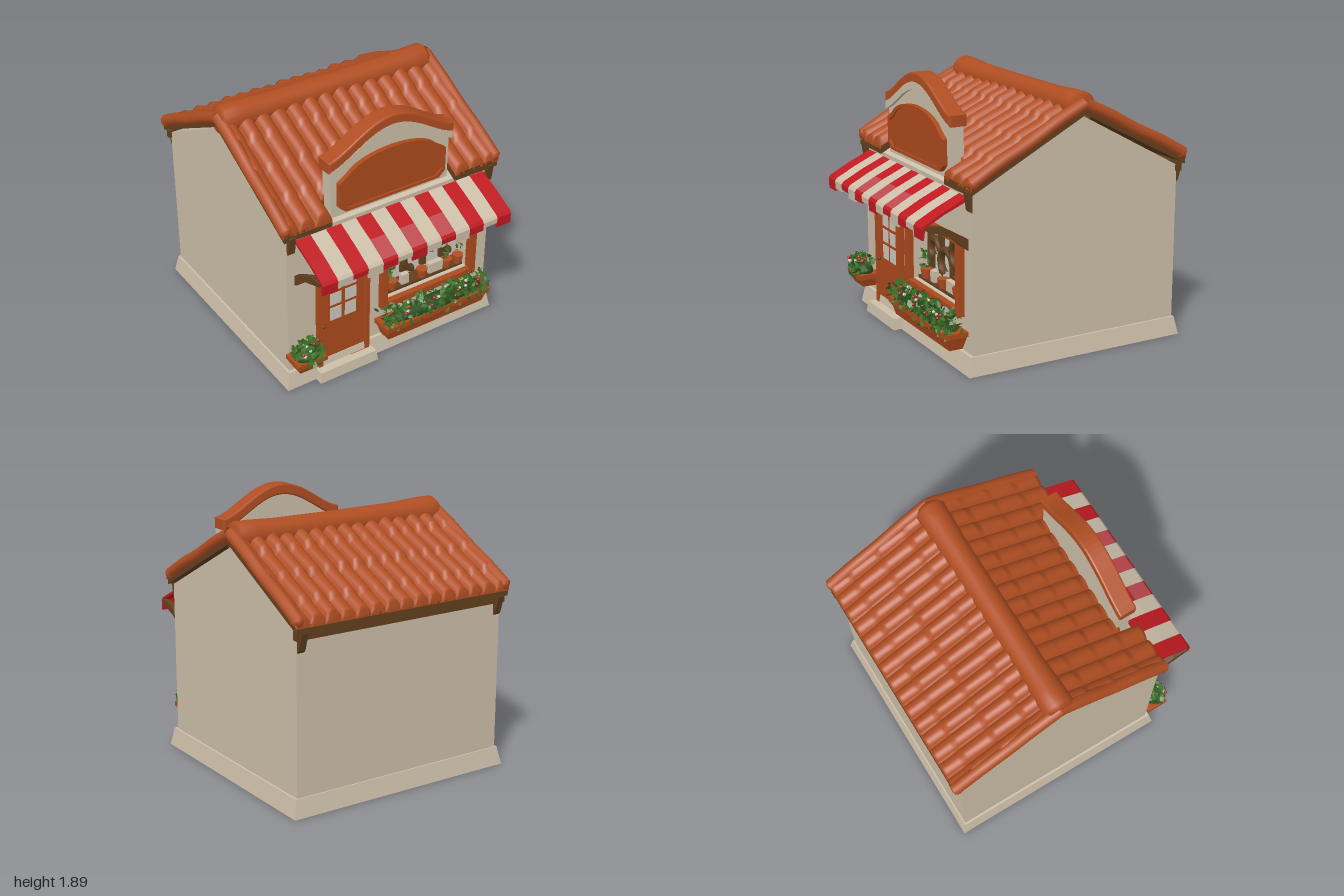
import * as THREE from 'three';
import { mergeGeometries } from 'three/addons/utils/BufferGeometryUtils.js';

const mat = (name, color, side = THREE.FrontSide) => {
  const m = new THREE.MeshStandardMaterial({ color, side });
  m.name = name;
  return m;
};

export function createModel() {
  const group = new THREE.Group();
  const plaster = mat('plaster', 0xcdbfa9);
  const terracotta = mat('terracotta', 0xb04e22, THREE.DoubleSide);
  const paintedWood = mat('paintedWood', 0xad4a1c);
  const darkWood = mat('darkWood', 0x63401f);
  const red = mat('awningRed', 0xc01a20);
  const pink = mat('fadedRed', 0xbf4a50);
  const pane = mat('paleGlass', 0xcfc9bd);
  const leafGreen = mat('leafGreen', 0x3b6b24, THREE.DoubleSide);
  const darkGreen = mat('darkGreen', 0x274a1b);

  let seed = 7;
  const rand = () => (seed = (seed * 16807) % 2147483647) / 2147483647;

  const add = (name, geo, material, parent = group) => {
    const m = new THREE.Mesh(geo, material);
    m.name = name;
    parent.add(m);
    return m;
  };
  // Box given by its limits, optionally tapered towards the top or bottom
  const box = (name, m, x0, x1, y0, y1, z0, z1, top = 1, bottom = 1) => {
    const g = new THREE.BoxGeometry(x1 - x0, y1 - y0, z1 - z0);
    const p = g.attributes.position;
    for (let i = 0; i < p.count; i++) {
      const inset = p.getY(i) > 0 ? top : bottom;
      p.setX(i, p.getX(i) - Math.sign(p.getX(i)) * (1 - inset));
      p.setZ(i, p.getZ(i) - Math.sign(p.getZ(i)) * (1 - inset));
    }
    g.computeVertexNormals();
    g.translate((x0 + x1) / 2, (y0 + y1) / 2, (z0 + z1) / 2);
    return add(name, g, m);
  };
  // Side profile of [z, y] points drawn out along x
  const alongX = (name, m, pts, x0, x1, parent) => {
    const s = new THREE.Shape(pts.map(([z, y]) => new THREE.Vector2(-z, y)));
    const g = new THREE.ExtrudeGeometry(s, { depth: x1 - x0, bevelEnabled: false });
    return add(name, g.rotateY(Math.PI / 2).translate(x0, 0, 0), m, parent);
  };
  // Front outline drawn out along z
  const alongZ = (name, m, shape, z0, z1, bevel = 0) => {
    const g = new THREE.ExtrudeGeometry(shape, { depth: z1 - z0 - bevel, curveSegments: 16,
      bevelEnabled: bevel > 0, bevelSize: bevel, bevelThickness: bevel, bevelSegments: 2 });
    return add(name, g.translate(0, 0, z0), m);
  };
  const outline = (pts) => new THREE.Shape(pts.map(([x, y]) => new THREE.Vector2(x, y)));
  const rect = (x0, x1, y0, y1) => outline([[x0, y0], [x1, y0], [x1, y1], [x0, y1]]);

  // Walls, with a recess for the shop window
  const gable = [[-0.93, 0], [-0.93, 1.24], [-0.16, 1.66], [0.67, 1.23]];
  const recess = [[0.67, 0.87], [0.52, 0.87], [0.52, 0.42], [0.67, 0.42]];
  alongX('wallRight', plaster, [...gable, [0.67, 0]], -0.84, -0.05);
  alongX('wallWindow', plaster, [...gable, ...recess, [0.67, 0]], -0.05, 0.67);
  alongX('wallLeft', plaster, [...gable, [0.67, 0]], 0.67, 0.84);
  box('plinth', plaster, -0.88, 0.88, 0, 0.13, -0.965, 0.72, 0.975);
  box('doorstep', plaster, -0.65, -0.17, 0, 0.08, 0.6, 0.78, 0.99);

  // Roof: rippled tile panels over a timber deck, measured from the ridge
  const slope = 0.52, ridgeY = 1.73, ridgeZ = -0.16;
  const tiles = (x0, x1, len, cols, parent) => {
    const nx = cols * 10, ny = 41;
    const g = new THREE.PlaneGeometry(1, 1, nx, ny);
    const p = g.attributes.position;
    const lean = Array.from({ length: cols * 6 }, () => rand() * 0.014);
    for (let i = 0; i < p.count; i++) {
      const u = p.getX(i) + 0.5, v = 0.5 - p.getY(i);
      const d = Math.min(1, (v * ny) / (ny - 1)) * len;
      const c = u * cols, row = Math.floor(d / 0.22);
      const arch = Math.pow(Math.abs(Math.sin(Math.PI * c)), 0.6);
      const lift = arch * (0.034 + 0.018 * (d / 0.22 - row) + lean[Math.min(cols - 1, Math.floor(c)) * 6 + row]);
      p.setXYZ(i, x0 + u * (x1 - x0), ridgeY - slope * d + (v > 0.999 ? -0.02 : lift), d);
    }
    g.computeVertexNormals();
    add('roofTiles', g, terracotta, parent);
  };
  const deck = (x0, x1, len, parent) => alongX('roofDeck', darkWood,
    [[0, ridgeY - 0.055], [len, ridgeY - 0.055 - slope * len], [len, ridgeY - slope * len], [0, ridgeY]], x0, x1, parent);
  const verge = (x, len, parent) => {
    const pts = [0, 0.25, 0.5, 0.75, 1].map((t, i) =>
      new THREE.Vector3(x, ridgeY + 0.015 - slope * len * t + (i % 2) * 0.008, len * t));
    add('vergeTile', new THREE.TubeGeometry(new THREE.CatmullRomCurve3(pts), 16, 0.045, 10), terracotta, parent);
    const cap = add('vergeEnd', new THREE.SphereGeometry(0.046, 10, 8), terracotta, parent);
    cap.position.copy(pts[4]).add(new THREE.Vector3(0, 0.005, -0.02));
  };
  const front = new THREE.Group(), back = new THREE.Group();
  front.name = 'frontSlope';
  back.name = 'backSlope';
  front.position.z = back.position.z = ridgeZ;
  back.rotation.y = Math.PI;
  group.add(front, back);
  tiles(-0.5, 0.5, 0.72, 8, front);
  tiles(0.5, 0.88, 0.86, 3, front);
  tiles(-0.88, -0.5, 0.86, 3, front);
  deck(-0.5, 0.5, 0.72, front);
  deck(0.5, 0.87, 0.86, front);
  deck(-0.87, -0.5, 0.86, front);
  tiles(-0.88, 0.88, 0.82, 15, back);
  deck(-0.87, 0.87, 0.82, back);
  for (const s of [-1, 1]) {
    verge(s * 0.85, 0.85, front);
    verge(s * 0.85, 0.81, back);
    // Eaves brackets on each corner
    const x = s * 0.81;
    alongX('eavesBracket', darkWood, [[0.66, 1.1], [0.69, 1.12], [0.71, 1.25], [0.66, 1.26]], x - 0.025, x + 0.025);
    alongX('eavesBracket', darkWood, [[-0.92, 1.1], [-0.95, 1.13], [-0.985, 1.25], [-0.92, 1.27]], x - 0.025, x + 0.025);
  }
  box('backEavesBeam', darkWood, -0.86, 0.86, 1.2, 1.26, -0.96, -0.92);
  // Ridge roll, thicker at its ends
  const ridgeProfile = [[0, -0.86], [0.085, -0.86], [0.11, -0.83], [0.108, -0.7], [0.096, -0.5], [0.093, 0],
    [0.096, 0.5], [0.106, 0.7], [0.108, 0.81], [0.085, 0.84], [0, 0.84]].map(([r, y]) => new THREE.Vector2(r, y));
  const ridge = add('ridgeRoll', new THREE.LatheGeometry(ridgeProfile, 20), terracotta);
  ridge.rotation.z = -Math.PI / 2;
  ridge.position.set(0, 1.715, ridgeZ);

  // Arched parapet with tiled cap and sign board
  const arch = (x) => 1.61 + 0.21 * Math.pow(0.5 * (1 + Math.cos((Math.PI * x) / 0.5)), 0.75);
  const curve = (w, dy, n = 28) => Array.from({ length: n + 1 }, (_, i) => {
    const x = -w + (2 * w * i) / n;
    return [x, arch(x) + dy];
  });
  const strip = (w, a, b) => outline([...curve(w, a), ...curve(w, b).reverse()]);
  alongZ('parapet', plaster, outline([[0.475, 1.19], [0.475, 1.6], ...curve(0.475, 0).reverse(), [-0.475, 1.19]]), 0.54, 0.64);
  alongZ('parapetMoulding', plaster, strip(0.49, -0.05, 0.005), 0.6, 0.662);
  alongZ('parapetCap', terracotta, strip(0.49, 0.005, 0.06), 0.54, 0.66, 0.012);
  const signShape = (k) => {
    const s = new THREE.Shape();
    s.moveTo(-0.38 + k, 1.285 + k).lineTo(0.38 - k, 1.285 + k);
    s.lineTo(0.43 - k, 1.33 + k).lineTo(0.43 - k, 1.51 - k).lineTo(0.36 - k, 1.555 - k);
    s.bezierCurveTo(0.24, 1.7 - k, -0.24, 1.7 - k, -0.36 + k, 1.555 - k);
    s.lineTo(-0.43 + k, 1.51 - k).lineTo(-0.43 + k, 1.33 + k).closePath();
    return s;
  };
  alongZ('signBoard', paintedWood, signShape(0), 0.63, 0.662);
  const rim = signShape(0);
  rim.holes.push(signShape(0.022));
  alongZ('signRim', paintedWood, rim, 0.66, 0.675);

  // Striped awning with a hanging valance and side arms
  for (let i = 0; i < 13; i++) {
    const w = 1.54 / 13, x0 = -0.77 + i * w, x1 = x0 + w;
    const m = i % 2 ? plaster : red;
    const drop = 0.955 + 0.018 * (i % 3);
    alongX('awningStripe', m, [[0.66, 1.205], [0.84, 1.125], [0.84, 1.105], [0.66, 1.18]], x0, x1);
    alongX('awningStripe', [4, 6, 8].includes(i) ? pink : m,
      [[0.84, 1.125], [0.985, 1.05], [0.975, 1.035], [0.84, 1.105]], x0, x1);
    alongX('awningValance', m, [[0.985, 1.05], [1, 1.03], [0.998, drop], [0.985, drop], [0.975, 1.035]], x0, x1);
  }
  for (const x of [-0.76, -0.14, 0.76]) {
    alongX('awningArm', darkWood, [[0.67, 0.84], [0.7, 0.86], [0.8, 0.95], [0.97, 1.015], [0.97, 1.045],
      [0.86, 1.03], [0.77, 0.98], [0.67, 0.92]], x - 0.02, x + 0.02);
  }

  // Door with arched frame and six panes
  const doorShape = (k) => {
    const s = new THREE.Shape();
    s.moveTo(-0.62 + k, 0.08).lineTo(-0.2 - k, 0.08).lineTo(-0.2 - k, 0.86 - k);
    s.bezierCurveTo(-0.25, 0.935 - k, -0.57, 0.935 - k, -0.62 + k, 0.86 - k);
    return s.closePath();
  };
  const jamb = doorShape(0);
  jamb.holes.push(doorShape(0.035));
  alongZ('doorFrame', paintedWood, jamb, 0.66, 0.71);
  alongZ('doorLeaf', paintedWood, doorShape(0.03), 0.66, 0.69);
  for (const [y0, y1] of [[0.44, 0.545], [0.57, 0.665], [0.69, 0.805]])
    for (const x of [-0.47, -0.35]) {
      box('doorPane', pane, x - 0.046, x + 0.046, y0, y1, 0.688, 0.694);
    }
  add('doorKnob', new THREE.SphereGeometry(0.014, 10, 8), darkWood).position.set(-0.575, 0.42, 0.7);

  // Shop window frame and display
  const frame = rect(-0.1, 0.72, 0.37, 0.91);
  frame.holes.push(rect(-0.05, 0.67, 0.415, 0.87));
  alongZ('windowFrame', paintedWood, frame, 0.66, 0.715);
  box('displayBack', pane, -0.05, 0.67, 0.42, 0.87, 0.52, 0.526);
  box('displaySide', darkWood, -0.05, 0.0, 0.5, 0.87, 0.526, 0.56);
  box('displayShelf', darkWood, -0.04, 0.66, 0.42, 0.44, 0.53, 0.64);
  [[0.1, 0.66, 0.07], [0.27, 0.6, 0.09], [0.44, 0.7, 0.09], [0.6, 0.62, 0.08]].forEach(([x, y, r], i) => {
    add('displayHoop', new THREE.TorusGeometry(r, 0.028, 8, 18, 4.6), darkWood).position.set(x, y, 0.57);
    box('displayRail', darkWood, x - r - 0.02, x - r + 0.025, 0.5, 0.84 - (i % 2) * 0.06, 0.55, 0.58);
  });
  const potGeo = new THREE.CylinderGeometry(0.042, 0.03, 0.07, 12);
  for (const x of [0.05, 0.31, 0.53, 0.63]) add('displayPot', potGeo, terracotta).position.set(x, 0.475, 0.62);
  for (const x of [0.16, 0.4, 0.46]) box('displayBox', plaster, x - 0.03, x + 0.03, 0.44, 0.52, 0.59, 0.63);

  // Leaves: small folded diamonds scattered in an ellipsoid
  const leaves = (name, m, n, [cx, cy, cz], [rx, ry, rz], size) => {
    const parts = [];
    for (let i = 0; i < n; i++) {
      const g = new THREE.CircleGeometry(size * (0.6 + 0.7 * rand()), 5);
      g.scale(0.6, 1, 1).rotateX(rand() * 6).rotateY(rand() * 6).rotateZ(rand() * 6);
      const a = rand() * 6.283, h = rand() * 2 - 1, q = Math.sqrt(1 - h * h) * Math.sqrt(rand());
      const spread = rx > 0.3 ? rand() * 2 - 1 : q * Math.cos(a);
      parts.push(g.translate(cx + rx * spread, cy + ry * h, cz + rz * q * Math.sin(a)));
    }
    add(name, mergeGeometries(parts), m);
  };
  leaves('displayPlant', leafGreen, 30, [0.02, 0.56, 0.61], [0.07, 0.08, 0.03], 0.024);
  leaves('displayPlant', leafGreen, 16, [0.52, 0.57, 0.61], [0.04, 0.06, 0.03], 0.022);
  leaves('displayPlant', leafGreen, 12, [0.64, 0.62, 0.61], [0.03, 0.1, 0.03], 0.02);

  // Flower boxes below the window and beside the door
  const planter = (x0, x1, y0, y1, n) => {
    const cx = (x0 + x1) / 2, rx = (x1 - x0) / 2;
    box('flowerBox', paintedWood, x0, x1, y0, y1 - 0.03, 0.67, 0.82, 1, 0.975);
    box('flowerBoxRim', paintedWood, x0 - 0.012, x1 + 0.012, y1 - 0.035, y1, 0.67, 0.835);
    const mound = add('foliageMound', new THREE.SphereGeometry(1, 16, 8), darkGreen);
    mound.scale.set(rx * 0.97, 0.06, 0.07);
    mound.position.set(cx, y1 + 0.015, 0.76);
    leaves('foliage', leafGreen, n, [cx, y1 + 0.06, 0.77], [rx + 0.01, 0.075, 0.1], 0.026);
    leaves('darkFoliage', leafGreen, Math.round(n / 3), [cx, y1 + 0.01, 0.83], [rx, 0.05, 0.03], 0.022);
    for (let i = 0; i < n / 14; i++) {
      const f = add('flower', new THREE.IcosahedronGeometry(0.013, 0), i % 2 ? red : plaster);
      f.position.set(cx + rx * (rand() * 1.8 - 0.9), y1 + 0.06 + rand() * 0.07, 0.76 + rand() * 0.08);
    }
  };
  planter(-0.12, 0.76, 0.155, 0.28, 330);
  planter(-0.85, -0.64, 0.185, 0.285, 130);
  return group;
}
